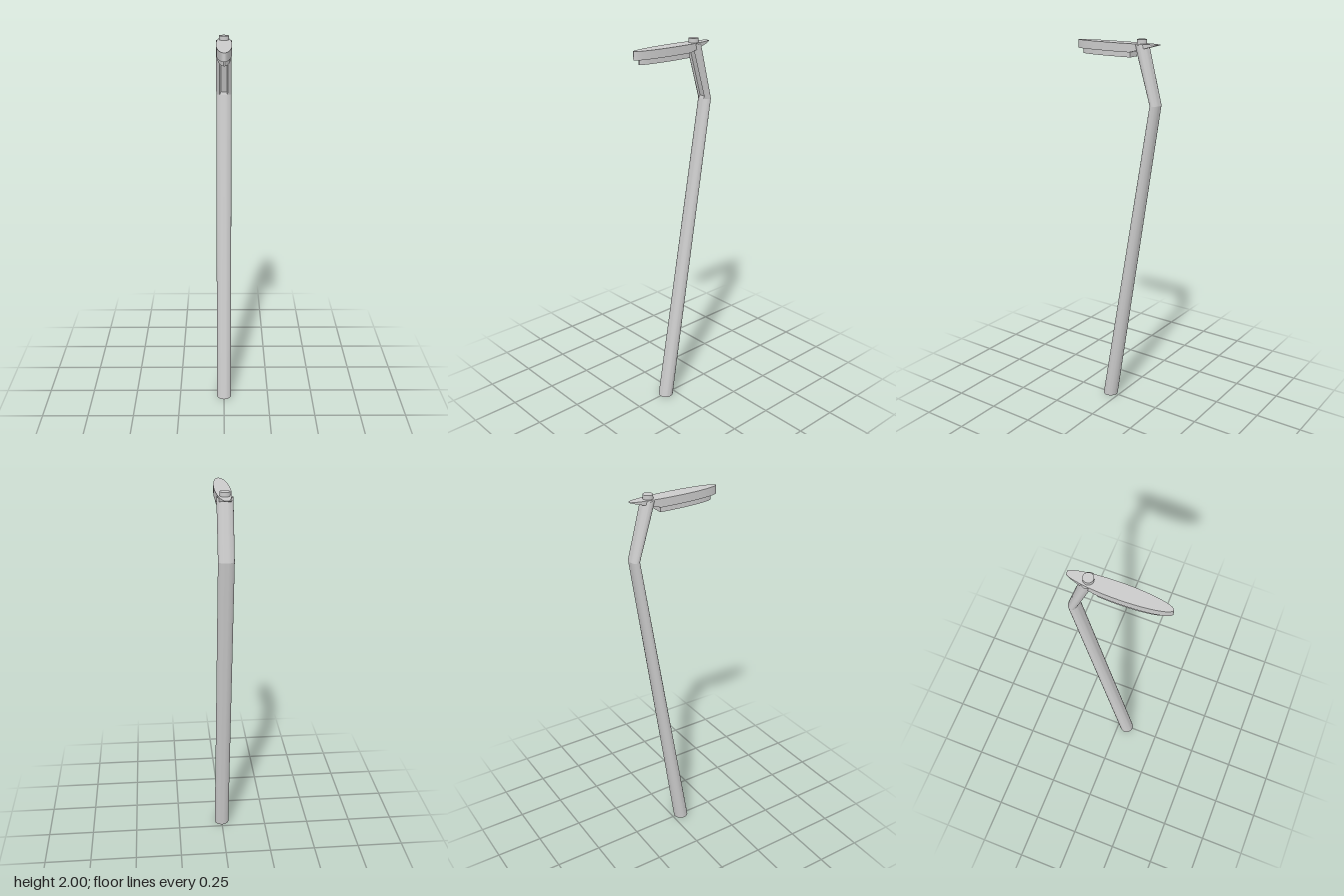
import * as THREE from 'three';
import { toCreasedNormals } from 'three/addons/utils/BufferGeometryUtils.js';

const material = new THREE.MeshStandardMaterial({ color: 0xcccccc, side: THREE.DoubleSide });

// Skin a list of equal-length rings of [x, y, z], optionally closing each end
function loft(name, rings, capStart = true, capEnd = true) {
  const n = rings[0].length;
  const positions = rings.flat(2);
  const index = [];
  for (let i = 0; i < rings.length - 1; i++) {
    for (let j = 0; j < n; j++) {
      const a = i * n + j, b = i * n + (j + 1) % n;
      index.push(a, b, b + n, a, b + n, a + n);
    }
  }
  const cap = (r, flip) => {
    const centre = positions.length / 3;
    for (let k = 0; k < 3; k++) positions.push(rings[r].reduce((s, p) => s + p[k], 0) / n);
    for (let j = 0; j < n; j++) {
      const a = r * n + j, b = r * n + (j + 1) % n;
      index.push(centre, flip ? b : a, flip ? a : b);
    }
  };
  if (capStart) cap(0, true);
  if (capEnd) cap(rings.length - 1, false);
  const geometry = new THREE.BufferGeometry();
  geometry.setAttribute('position', new THREE.Float32BufferAttribute(positions, 3));
  geometry.setIndex(index);
  const mesh = new THREE.Mesh(toCreasedNormals(geometry, 0.5), material);
  mesh.name = name;
  return mesh;
}

// Horizontal oval section; groove pulls the middle of the front inwards
function oval(y, z, rx, rz, groove = 0) {
  return Array.from({ length: 32 }, (_, i) => {
    const t = (i / 32) * Math.PI * 2;
    const c = Math.cos(t), s = Math.sin(t);
    const inGroove = s < 0 && Math.abs(c) < 0.5;
    return [rx * c, y, z - rz * s * (inGroove ? 1 - groove : 1)];
  });
}

// Plate with an oval plan, built from rectangular sections along z
function ovalPlate(name, z0, z1, halfLength, halfWidth, bottom, top) {
  const rings = [];
  for (let i = 0; i <= 32; i++) {
    const z = (z0 + z1) / 2 - Math.cos((i / 32) * Math.PI) * (z1 - z0) / 2;
    const w = Math.max(0.0015, halfWidth * Math.sqrt(Math.max(0, 1 - (z / halfLength) ** 2)));
    const lo = bottom(z);
    rings.push([[-w, lo, z], [w, lo, z], [w, top, z], [-w, top, z]]);
  }
  return loft(name, rings);
}

export function createModel() {
  const group = new THREE.Group();
  group.name = 'streetLamp';

  // Leaning pole, flattening towards the bend
  group.add(loft('pole', [oval(0, 0.053, 0.04, 0.04), oval(1.685, -0.222, 0.04, 0.024)]));

  // Grooved upper arm leaning forward to the lamp head, open at the top
  group.add(loft('arm', [
    oval(1.685, -0.222, 0.04, 0.024),
    oval(1.7, -0.218, 0.04, 0.0245, 0.4),
    oval(1.975, -0.14, 0.04, 0.033, 0.4),
  ], false, false));

  // Leaf-shaped head, its underside sweeping up to a thin rear tip
  const underside = (z) => 1.937 + 0.039 * THREE.MathUtils.clamp((-0.09 - z) / 0.148, 0, 1);
  group.add(ovalPlate('lampHead', -0.238, 0.246, 0.246, 0.04, underside, 1.979));

  // Light panel below the head
  group.add(ovalPlate('lightPanel', -0.09, 0.214, 0.215, 0.033, () => 1.912, 1.94));

  // Round sensor cap on top
  const cap = new THREE.Mesh(new THREE.CylinderGeometry(0.025, 0.025, 0.05, 32), material);
  cap.name = 'topCap';
  cap.position.set(0, 1.975, -0.139);
  group.add(cap);

  return group;
}
